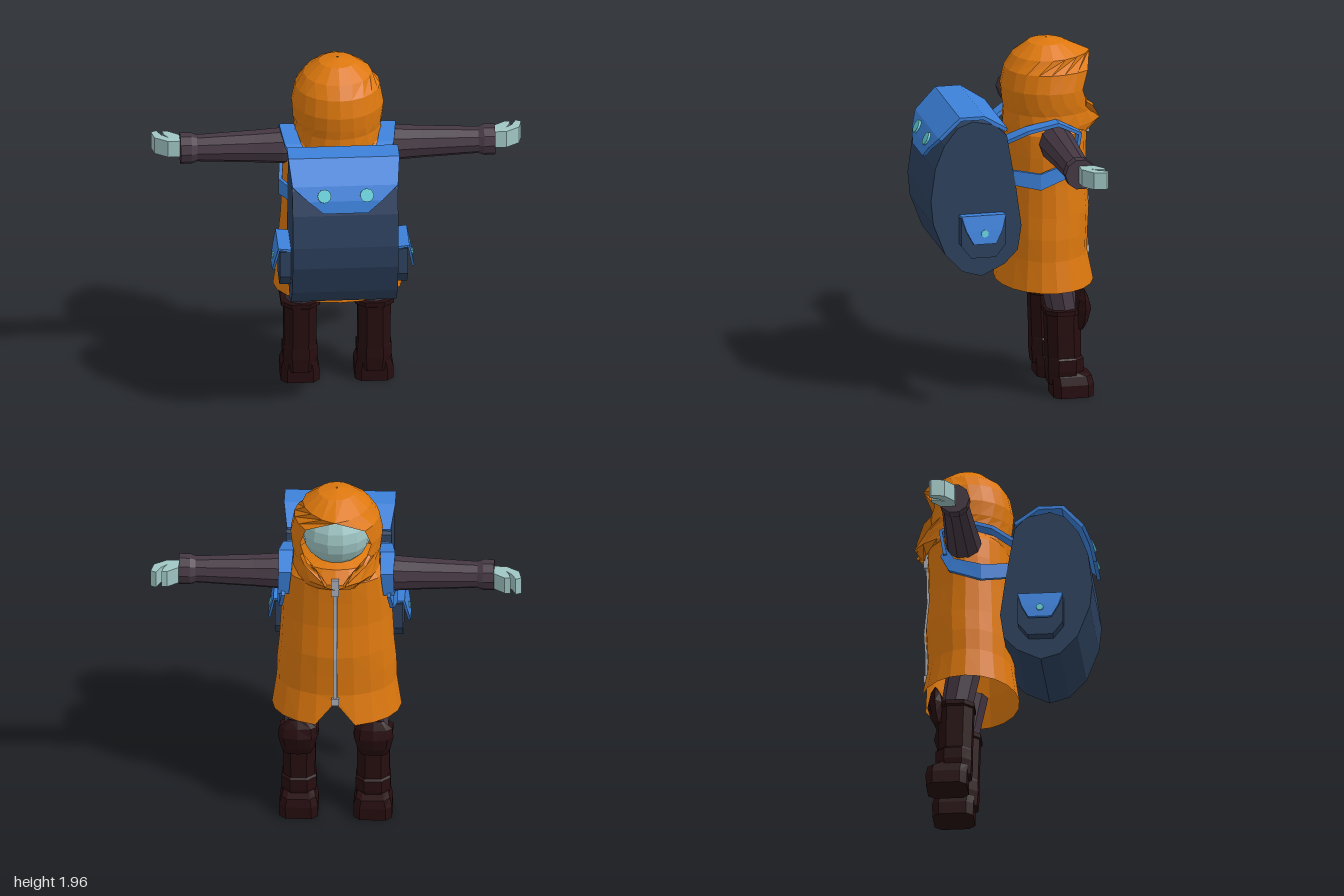
import * as THREE from 'three';

const V = (x, y, z) => new THREE.Vector3(x, y, z);

// Flat-faced geometry from quads and triangles
function faceted(points) {
  const g = new THREE.BufferGeometry().setFromPoints(points);
  g.computeVertexNormals();
  return g;
}

// Reverses every triangle
function flipped(points) {
  const out = [];
  for (let i = 0; i < points.length; i += 3) out.push(points[i], points[i + 2], points[i + 1]);
  return out;
}

// Skins closed rings of points; faces are turned outward by signed volume
function loft(rings, caps = true) {
  const t = [], n = rings[0].length;
  for (let i = 0; i + 1 < rings.length; i++) {
    for (let j = 0; j < n; j++) {
      const k = (j + 1) % n, [a, b] = [rings[i], rings[i + 1]];
      t.push(a[j], b[j], b[k], a[j], b[k], a[k]);
    }
  }
  if (caps) {
    const [a, b] = [rings[0], rings[rings.length - 1]];
    for (let j = 1; j + 1 < n; j++) t.push(a[0], a[j], a[j + 1], b[0], b[j + 1], b[j]);
  }
  const c = V(0, 0, 0);
  t.forEach(p => c.addScaledVector(p, 1 / t.length));
  let vol = 0;
  for (let i = 0; i < t.length; i += 3) {
    const [p, q, r] = [0, 1, 2].map(k => t[i + k].clone().sub(c));
    vol += p.dot(q.cross(r));
  }
  return faceted(vol < 0 ? flipped(t) : t);
}

// Horizontal oval ring; a power below 1 makes it boxier
function ring(y, cx, cz, rx, rz, n = 8, pow = 1) {
  const e = v => Math.sign(v) * Math.abs(v) ** pow;
  return Array.from({ length: n }, (_, j) => {
    const a = (j + (pow < 1 ? 0.5 : 0)) / n * Math.PI * 2;
    return V(cx + rx * e(Math.sin(a)), y, cz - rz * e(Math.cos(a)));
  });
}

// Flat band along rows of [x, y, z, half-width vector]
function band(rows, thick) {
  const p = rows.map(r => V(r[0], r[1], r[2]));
  return loft(rows.map((r, i) => {
    const w = V(r[3], r[4], r[5]);
    const tan = p[Math.min(i + 1, p.length - 1)].clone().sub(p[Math.max(i - 1, 0)]);
    const t = tan.cross(w).normalize().multiplyScalar(thick / 2);
    return [[1, 1], [1, -1], [-1, -1], [-1, 1]].map(([a, b]) =>
      p[i].clone().addScaledVector(w, a).addScaledVector(t, b));
  }));
}

// Prism from an outline, bevel-free
function prism(outline, depth) {
  const shape = new THREE.Shape(outline.map(([x, y]) => new THREE.Vector2(x, y)));
  return new THREE.ExtrudeGeometry(shape, { depth, bevelEnabled: false });
}

export function createModel() {
  const root = new THREE.Group();
  const mat = (name, color, side = THREE.FrontSide) =>
    new THREE.MeshStandardMaterial({ name, color, side });
  const orange = mat('orange coat', 0xdd780e, THREE.DoubleSide);
  const blue = mat('blue webbing', 0x3c81da);
  const navy = mat('navy canvas', 0x2d415e);
  const plum = mat('plum cloth', 0x453843);
  const brown = mat('dark brown leather', 0x260d0f);
  const skin = mat('pale teal skin', 0x9fc6c4);
  const cyan = mat('cyan button', 0x62cdd6);
  const grey = mat('grey zip', 0xabb0b8);

  const add = (name, geo, material) => {
    const m = new THREE.Mesh(geo, material);
    m.name = name;
    root.add(m);
    return m;
  };
  // Adds the +x part and its mirrored twin
  const pair = (name, geo, material) => {
    const g = geo.index ? geo.toNonIndexed() : geo;
    const a = g.attributes.position, pts = [], mir = [];
    for (let i = 0; i < a.count; i++) {
      pts.push(V(a.getX(i), a.getY(i), a.getZ(i)));
      mir.push(V(-a.getX(i), a.getY(i), a.getZ(i)));
    }
    add(name + 'Left', faceted(pts), material);
    add(name + 'Right', faceted(flipped(mir)), material);
  };

  // Coat with a split at the front hem
  const coat = [
    [0.61, 0.35, 0.265, -0.195], [0.78, 0.325, 0.235, -0.19], [0.9, 0.322, 0.237, -0.193],
    [1.02, 0.31, 0.24, -0.197], [1.2, 0.3, 0.225, -0.195], [1.35, 0.295, 0.222, -0.2],
    [1.47, 0.28, 0.222, -0.205], [1.54, 0.22, 0.18, -0.2], [1.57, 0.1, 0.1, -0.2],
  ].map(([y, rx, rz, cz]) => ring(y, 0, cz, rx, rz, 20));
  coat[0][0].set(0, 0.74, -0.43);
  add('coat', loft(coat, false), orange);

  // Hood: rows of [y, radius, half opening angle, forward push at the edge]
  const hoodRows = [
    [1.955, 0.005, 0, 0], [1.935, 0.1, 0, 0], [1.87, 0.185, 0, 0.055], [1.8, 0.23, 44, 0.03],
    [1.7, 0.25, 50, 0], [1.62, 0.243, 42, 0.01], [1.57, 0.235, 24, 0.03],
    [1.5, 0.24, 13, 0.05], [1.45, 0.235, 0, 0.0],
  ];
  const seg = 16;
  const hood = hoodRows.map(([y, r, open, push]) => Array.from({ length: seg + 1 }, (_, j) => {
    const o = open * Math.PI / 180, a = o + (2 * Math.PI - 2 * o) * j / seg;
    const near = Math.max(0, 1 - Math.min(j, seg - j) / 2.5);
    return V(r * Math.sin(a), y, -0.21 - r * Math.cos(a) - push * near);
  }));
  const hoodTris = [];
  for (let i = 0; i + 1 < hood.length; i++) {
    for (let j = 0; j < seg; j++) {
      const [a, b, c, d] = [hood[i][j], hood[i][j + 1], hood[i + 1][j + 1], hood[i + 1][j]];
      hoodTris.push(a, b, c, a, c, d);
    }
  }
  add('hood', faceted(hoodTris), orange);
  // Folded collar flaps
  pair('collarFlap', band([[0.17, 1.62, -0.39, 0.015, 0.02, 0], [0.12, 1.565, -0.435, 0.04, 0.04, 0],
    [0.06, 1.51, -0.475, 0.012, 0.02, 0]], 0.02), orange);

  // Face
  const head = new THREE.SphereGeometry(0.19, 14, 10).toNonIndexed();
  head.computeVertexNormals();
  add('face', head, skin).position.set(0, 1.7, -0.21);

  // Zip with a tab at each end
  add('zip', band([[1.5, -0.435], [1.35, -0.425], [1.2, -0.423], [1.02, -0.44], [0.9, -0.433], [0.75, -0.432]]
    .map(([y, z]) => [0, y, z, 0.011, 0, 0]), 0.014), grey);
  for (const [y, z, h] of [[1.46, -0.435, 0.1], [0.75, -0.435, 0.04]]) {
    add('zipTab', new THREE.BoxGeometry(0.042, h, 0.022), grey).position.set(0, y, z);
  }

  // Sleeves with flared cuffs
  pair('sleeve', loft([[0.22, 0.095], [0.3, 0.098], [0.45, 0.088], [0.62, 0.08], [0.76, 0.073], [0.79, 0.085],
    [0.85, 0.085]].map(([x, r]) => ring(0, 0, 0, r, r, 10).map(p => V(x, 1.43 + p.x, -0.21 + p.z)))), plum);

  // Curled hands
  const hand = prism([[0.83, 0.2], [0.914, 0.2], [0.985, 0.25], [1, 0.32], [0.97, 0.335], [0.948, 0.285], [0.912, 0.25],
    [0.932, 0.285], [0.94, 0.325], [0.91, 0.325], [0.85, 0.28], [0.83, 0.275]], 0.095);
  pair('hand', hand.rotateX(-Math.PI / 2).translate(0, 1.383, 0), skin);

  // Legs and boots
  pair('leg', loft([ring(0.45, 0.195, -0.26, 0.085, 0.085), ring(0.72, 0.19, -0.21, 0.095, 0.095)]), plum);
  pair('bootShaft', loft([[0.07, -0.26, 0.085, 0.092], [0.15, -0.265, 0.1, 0.105], [0.21, -0.265, 0.1, 0.103],
    [0.22, -0.258, 0.092, 0.096], [0.46, -0.253, 0.095, 0.1], [0.465, -0.253, 0.112, 0.107],
    [0.49, -0.253, 0.112, 0.107]].map(([y, cz, rx, rz]) => ring(y, 0.2, cz, rx, rz, 8, 0.8))), brown);
  pair('bootFoot', loft([[0, -0.302, 0.108, 0.114], [0.07, -0.302, 0.108, 0.116], [0.115, -0.295, 0.095, 0.112],
    [0.135, -0.27, 0.085, 0.08]].map(([y, cz, rx, rz]) => ring(y, 0.2, cz, rx, rz, 8, 0.45))), brown);
  pair('kneeGuard', loft([[0.375, -0.345, 0.07, 0.02], [0.42, -0.355, 0.09, 0.035], [0.49, -0.36, 0.107, 0.05],
    [0.545, -0.36, 0.1, 0.035], [0.59, -0.362, 0.055, 0.01]]
    .map(([y, cz, rx, rz]) => ring(y, 0.205, cz, rx, rz, 8))), brown);

  // Backpack body from its side profile of [z, y]
  const pack = prism([[0.26, 1.59], [0.135, 1.565], [0.07, 1.5], [0.02, 1.21], [-0.01, 0.99], [0.01, 0.855],
    [0.083, 0.78], [0.21, 0.72], [0.316, 0.75], [0.41, 0.85], [0.477, 1.025], [0.49, 1.155], [0.466, 1.337],
    [0.415, 1.466], [0.34, 1.56]], 0.57);
  add('backpack', pack.rotateY(-Math.PI / 2).translate(0.285, 0, 0), navy);
  add('backpackFlap', band([[1.53, 0.07, 0.28], [1.612, 0.2, 0.3], [1.612, 0.33, 0.3], [1.5, 0.44, 0.285],
    [1.43, 0.476, 0.2], [1.365, 0.49, 0.12]].map(([y, z, w]) => [0, y, z, w, 0, 0]), 0.02), blue);
  pair('flapButton', new THREE.CylinderGeometry(0.037, 0.037, 0.02, 12)
    .rotateX(Math.PI / 2 - 0.48).translate(0.115, 1.46, 0.474), cyan);

  // Side pockets with flaps and buttons
  const pocket = prism([[0.09, 1.06], [0.09, 0.91], [0.145, 0.84], [0.28, 0.84], [0.335, 0.91], [0.335, 1.06]], 0.07);
  pair('sidePocket', pocket.rotateY(-Math.PI / 2).translate(0.345, 0, 0), navy);
  pair('pocketFlap', band([[0.28, 1.065, 0.122], [0.35, 1.075, 0.122], [0.365, 1, 0.1], [0.378, 0.927, 0.062]]
    .map(([x, y, w]) => [x, y, 0.213, 0, 0, w]), 0.014), blue);
  pair('pocketButton', new THREE.CylinderGeometry(0.02, 0.02, 0.014, 10)
    .rotateZ(Math.PI / 2 + 0.17).translate(0.375, 0.985, 0.213), cyan);

  // Shoulder straps looping around the arms
  pair('strap', band([[0.2, 1.45, 0.06, 0.05, 0, 0], [0.25, 1.51, -0.05, 0.045, 0, 0], [0.275, 1.55, -0.21, 0.04, 0, 0],
    [0.275, 1.49, -0.33, 0.035, 0, 0], [0.285, 1.35, -0.305, 0.03, 0, 0]], 0.02), blue);
  pair('lowerStrap', band([[0.285, 1.37, -0.315, 0, 0.025, 0.015], [0.3, 1.29, -0.27, 0, 0.035, 0.015],
    [0.315, 1.235, -0.11, 0, 0.045, 0], [0.26, 1.26, 0.05, 0, 0.04, 0]], 0.02), blue);

  return root;
}
